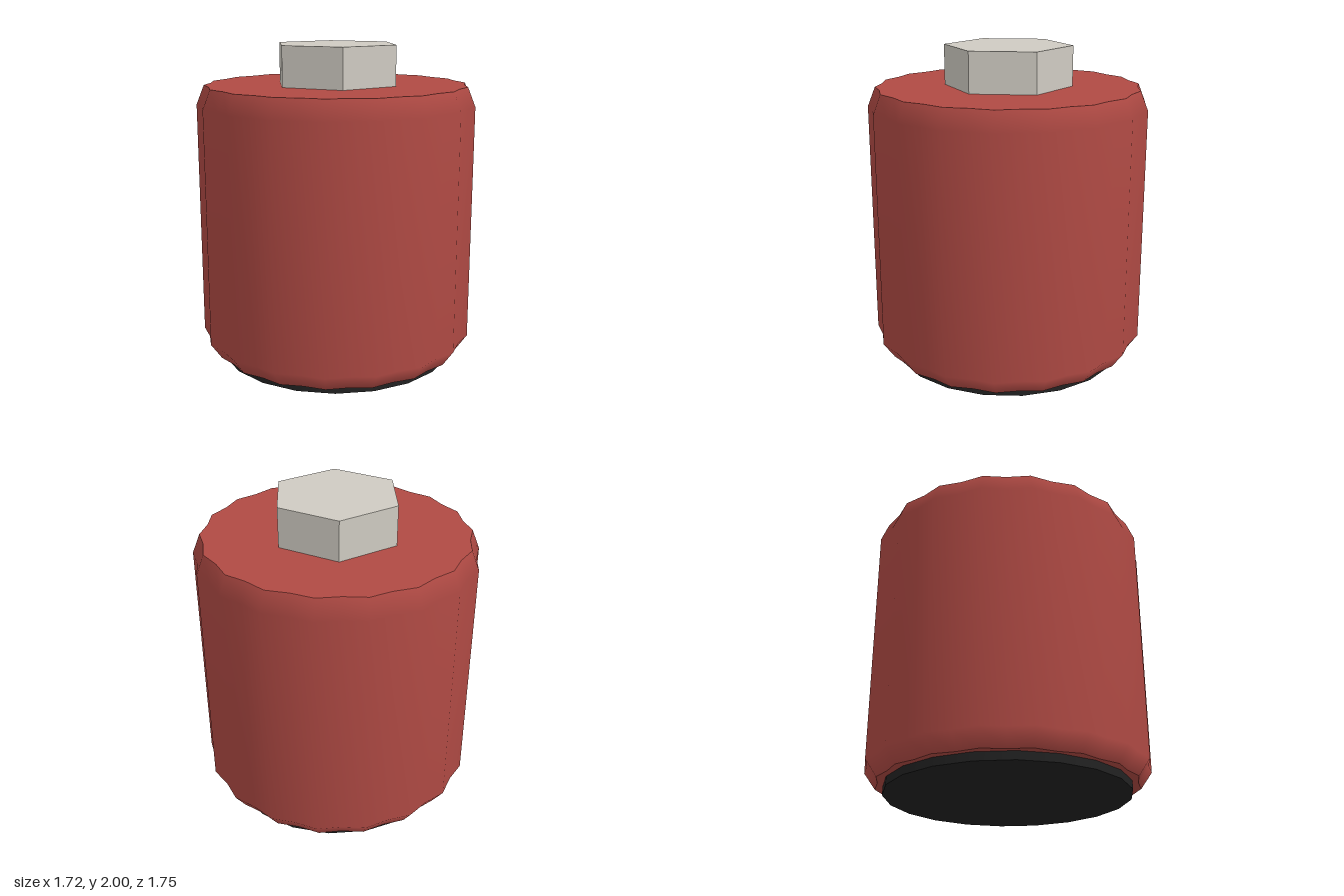
import * as THREE from 'three';

const RED = new THREE.MeshStandardMaterial({ color: 0xb04a44 });
const STEEL = new THREE.MeshStandardMaterial({ color: 0xcfcbc2, flatShading: true });
const BLACK = new THREE.MeshStandardMaterial({ color: 0x222222 });

const LOBES = 18;
const VALLEY = 0.97; // groove radius relative to ridge radius

// Lathe whose every second column is pulled inward to make shallow flutes
function flutedLathe(name, profile) {
  const points = profile.map(([r, y]) => new THREE.Vector2(r, y));
  const geometry = new THREE.LatheGeometry(points, LOBES * 2);
  const position = geometry.attributes.position;
  for (let i = 0; i < position.count; i++) {
    const column = Math.floor(i / points.length);
    if (column % 2 === 1) {
      position.setX(i, position.getX(i) * VALLEY);
      position.setZ(i, position.getZ(i) * VALLEY);
    }
  }
  const mesh = new THREE.Mesh(geometry, RED);
  mesh.name = name;
  return mesh;
}

function prism(name, radius, bottom, top, sides, material) {
  const geometry = new THREE.CylinderGeometry(radius, radius, top - bottom, sides);
  const mesh = new THREE.Mesh(geometry, material);
  mesh.position.y = (bottom + top) / 2;
  mesh.name = name;
  return mesh;
}

export function createModel() {
  const model = new THREE.Group();
  model.name = 'flutedCanister';

  // Fluted body: chamfered wall with separate flat ends for crisp rims
  const body = new THREE.Group();
  body.name = 'body';
  body.add(
    flutedLathe('bodyWall', [[0.803, 0.05], [0.873, 0.15], [0.873, 1.63], [0.825, 1.75]]),
    flutedLathe('bodyTop', [[0.825, 1.75], [0, 1.75]]),
    flutedLathe('bodyBottom', [[0, 0.05], [0.803, 0.05]])
  );
  model.add(body);

  // Dark foot disc
  model.add(prism('baseDisc', 0.75, 0, 0.05, 20, BLACK));

  // Hexagonal nut, corners pointing along x
  const nut = prism('hexNut', 0.4, 1.75, 2, 6, STEEL);
  nut.rotation.y = Math.PI / 2;
  model.add(nut);

  return model;
}
